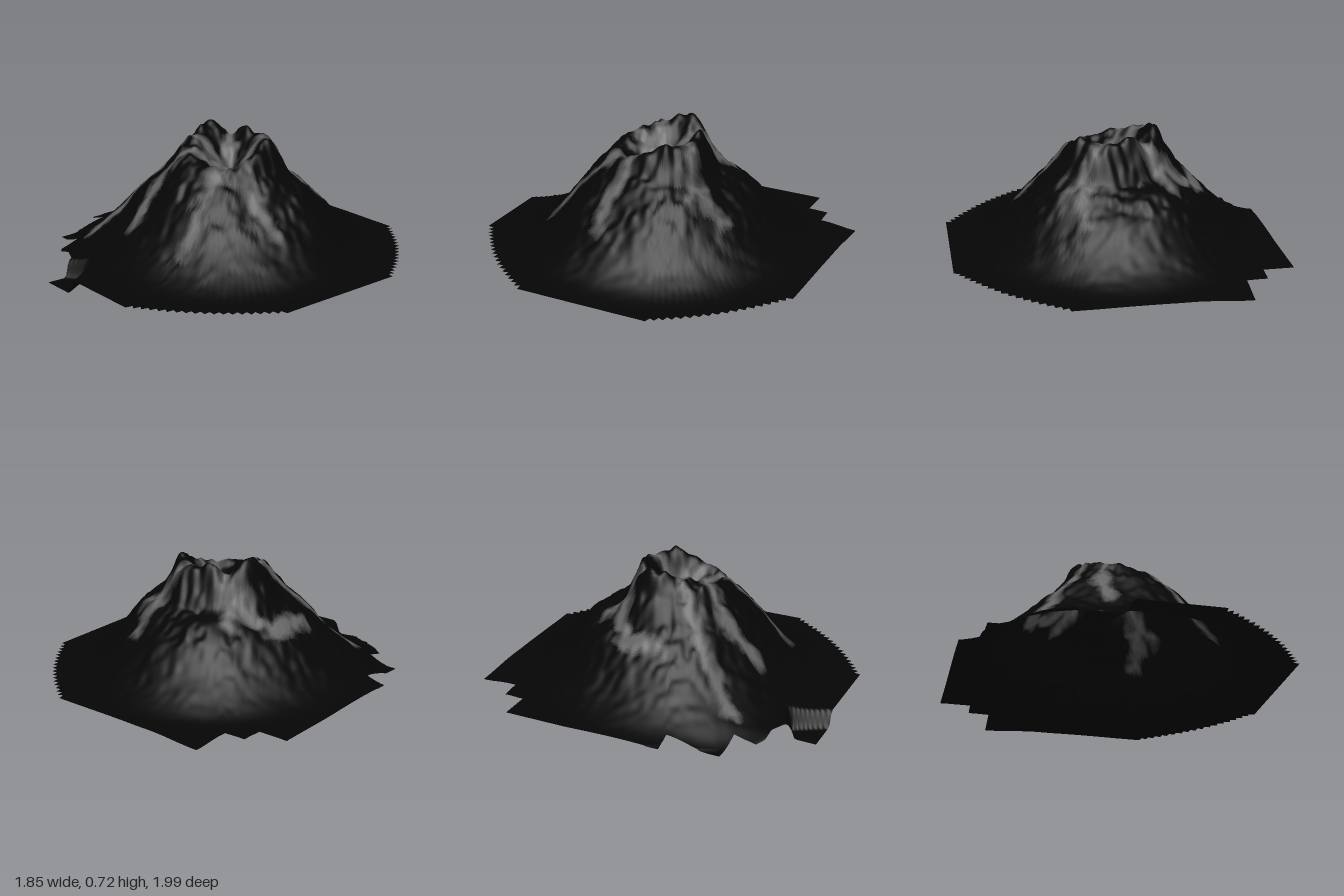
import * as THREE from 'three';

const CX = 0.02, CZ = 0.05, BASE = 0.08, RINGS = 100, TONES = 8;

// Radii of the height profiles, and one profile per 45 degrees, from +x towards the front
const RADII = [0, 0.08, 0.15, 0.2, 0.25, 0.3, 0.4, 0.5, 0.6, 0.7, 0.8, 0.9];
const PROFILES = [
  [0.5, 0.54, 0.64, 0.66, 0.56, 0.5, 0.42, 0.3, 0.18, 0.11, 0.08, 0.08],
  [0.5, 0.53, 0.6, 0.6, 0.55, 0.49, 0.39, 0.29, 0.195, 0.12, 0.085, 0.08],
  [0.5, 0.51, 0.54, 0.57, 0.57, 0.53, 0.43, 0.3, 0.2, 0.13, 0.09, 0.08],
  [0.5, 0.53, 0.57, 0.6, 0.61, 0.56, 0.44, 0.32, 0.21, 0.13, 0.09, 0.08],
  [0.5, 0.55, 0.63, 0.67, 0.65, 0.57, 0.48, 0.38, 0.28, 0.19, 0.12, 0.085],
  [0.5, 0.54, 0.62, 0.7, 0.72, 0.61, 0.45, 0.35, 0.24, 0.15, 0.1, 0.08],
  [0.5, 0.56, 0.65, 0.67, 0.58, 0.48, 0.44, 0.37, 0.25, 0.16, 0.1, 0.08],
  [0.5, 0.56, 0.66, 0.68, 0.6, 0.5, 0.41, 0.32, 0.21, 0.13, 0.09, 0.08],
];

// Ragged ground outline as x, z, and optional number of saw teeth up to the next corner
const OUTLINE = [
  [-0.04, -1], [0.74, -0.55, 17], [0.92, 0.18], [0.56, 0.8, 18], [-0.18, 0.99],
  [-0.76, 0.65], [-0.71, 0.57], [-0.7, 0.5], [-0.75, 0.43], [-0.81, 0.39], [-0.84, 0.34],
  [-0.79, 0.24], [-0.93, 0.15], [-0.79, -0.09], [-0.88, -0.14], [-0.45, -0.87],
  [-0.31, -0.79], [-0.25, -0.88], [-0.15, -0.83],
];

// Centre lines of the pale streaks running down from the crater
const STREAKS = [
  [[0, 0.05], [-0.04, -0.1], [-0.06, -0.22], [-0.09, -0.33]],
  [[-0.07, -0.25], [-0.2, -0.28], [-0.33, -0.25], [-0.38, -0.16], [-0.45, -0.08]],
  [[0.06, 0.05], [0.13, -0.05], [0.25, -0.09], [0.35, -0.13], [0.37, -0.23]],
  [[0.28, -0.09], [0.38, -0.07]],
  [[0, 0.07], [-0.2, 0.01], [-0.35, 0.08], [-0.52, 0.15], [-0.66, 0.21], [-0.68, 0.25]],
  [[-0.05, 0.14], [-0.17, 0.16], [-0.3, 0.24], [-0.38, 0.4]],
  [[0.04, 0.08], [0.05, 0.3], [0, 0.42], [-0.03, 0.6]],
  [[0.08, 0.1], [0.15, 0.23], [0.25, 0.33], [0.36, 0.38]],
  [[-0.04, 0.09], [0.1, 0.08]],
];

function cubic(a, b, c, d, t) {
  return b + 0.5 * t * (c - a + t * (2 * a - 5 * b + 4 * c - d + t * (3 * (b - c) + d - a)));
}

// Seeded lattice noise in the range -1..1
function hash(i, j) {
  const s = Math.sin(i * 127.1 + j * 311.7) * 43758.5453;
  return 2 * (s - Math.floor(s)) - 1;
}
function noise(x, z) {
  const i = Math.floor(x), j = Math.floor(z);
  const u = THREE.MathUtils.smoothstep(x - i, 0, 1), v = THREE.MathUtils.smoothstep(z - j, 0, 1);
  const row = (k) => THREE.MathUtils.lerp(hash(i, k), hash(i + 1, k), u);
  return THREE.MathUtils.lerp(row(j), row(j + 1), v);
}

function profileHeight(p, r) {
  const last = RADII.length - 1;
  if (r >= RADII[last]) return BASE;
  let k = 0;
  while (r > RADII[k + 1]) k++;
  const at = (n) => p[Math.min(Math.abs(n), last)];
  return cubic(at(k - 1), at(k), at(k + 1), at(k + 2), (r - RADII[k]) / (RADII[k + 1] - RADII[k]));
}

function height(x, z) {
  const step = THREE.MathUtils.smoothstep;
  const r = Math.hypot(x - CX, z - CZ);
  const a = ((Math.atan2(z - CZ, x - CX) / (Math.PI / 4)) + 8) % 8;
  const s = Math.floor(a);
  const h = [-1, 0, 1, 2].map((n) => profileHeight(PROFILES[(s + n + 8) % 8], r));
  let y = Math.max(BASE, cubic(...h, a - s));

  // Rough rock, strongest on the rim and fading out onto the plain
  const rough = Math.min(1, (y - BASE) / 0.3);
  const rim = Math.exp(-(((r - 0.21) / 0.07) ** 2));
  y += rough * (0.01 * noise(x * 11, z * 11) + 0.01 * noise(x * 27, z * 27));
  y += rim * 0.022 * noise(x * 22 + 5, z * 22);

  // Notch in the back of the rim
  y -= 0.06 * Math.exp(-((x + 0.06) ** 2 + (z + 0.14) ** 2) / 0.0025);

  // Sagging left shore and back tip, and the sunken front left corner
  y -= 0.025 * step(-x, 0.74, 0.88) * step(z, -0.1, 0.12) + 0.015 * step(-z, 0.85, 1);
  return THREE.MathUtils.lerp(y, 0, step(-x, 0.56, 0.6) * step(z, 0.52, 0.56));
}

// 1 on a streak's centre line, falling to 0 at its frayed border
function paleness(px, pz) {
  const x = px + 0.022 * noise(px * 18, pz * 18), z = pz + 0.022 * noise(px * 18 + 40, pz * 18);
  let d = 1;
  for (const line of STREAKS) {
    for (let i = 0; i + 1 < line.length; i++) {
      const [ax, az] = line[i], [bx, bz] = line[i + 1];
      const ux = bx - ax, uz = bz - az;
      const t = THREE.MathUtils.clamp(((x - ax) * ux + (z - az) * uz) / (ux * ux + uz * uz), 0, 1);
      d = Math.min(d, Math.hypot(x - ax - t * ux, z - az - t * uz));
    }
  }
  return 0.9 - d / 0.055 + 0.28 * noise(x * 20, z * 20) + 0.25 * noise(x * 45, z * 45);
}

function outlinePoints() {
  const pts = [];
  OUTLINE.forEach(([x, z, teeth], i) => {
    const [nx, nz] = OUTLINE[(i + 1) % OUTLINE.length];
    const n = teeth ? teeth * 2 : Math.ceil(Math.hypot(nx - x, nz - z) / 0.02);
    // Serrated edges bulge a little, with every other point pulled inwards
    for (let k = 0; k < n; k++) {
      const t = k / n;
      const pull = teeth ? 1 + 0.05 * Math.sin(Math.PI * t) - (k % 2) * 0.028 : 1;
      pts.push([(x + (nx - x) * t) * pull, (z + (nz - z) * t) * pull]);
    }
  });
  return pts;
}

export function createModel() {
  const rimPts = outlinePoints(), n = rimPts.length;
  const positions = [], pale = [];
  for (let k = 0; k <= RINGS; k++) {
    for (const [ex, ez] of rimPts) {
      const t = k / RINGS;
      const x = CX + (ex - CX) * t, z = CZ + (ez - CZ) * t;
      positions.push(x, height(x, z), z);
      pale.push(paleness(x, z));
    }
  }

  // Sort the faces into tones from dark rock to pale streak
  const faces = Array.from({ length: TONES }, () => []), all = [];
  const addFace = (...f) => {
    const p = (pale[f[0]] + pale[f[1]] + pale[f[2]]) / 3;
    faces[THREE.MathUtils.clamp(Math.ceil(p * TONES), 0, TONES - 1)].push(...f);
    all.push(...f);
  };
  for (let k = 0; k < RINGS; k++) {
    for (let i = 0; i < n; i++) {
      const j = (i + 1) % n, a = k * n, b = a + n;
      addFace(a + i, b + j, b + i);
      if (k > 0) addFace(a + i, a + j, b + j);
    }
  }

  // All tones share one set of smooth normals
  const terrain = new THREE.BufferGeometry();
  terrain.setAttribute('position', new THREE.Float32BufferAttribute(positions, 3));
  terrain.setIndex(all);
  terrain.computeVertexNormals();
  for (let i = 0; i < n; i++) terrain.attributes.normal.setXYZ(i, 0, 1, 0);

  const group = new THREE.Group();
  group.name = 'volcano';
  const dark = new THREE.Color(0x050505), light = new THREE.Color(0x626262);
  faces.forEach((index, i) => {
    const geometry = new THREE.BufferGeometry();
    geometry.setAttribute('position', terrain.attributes.position);
    geometry.setAttribute('normal', terrain.attributes.normal);
    geometry.setIndex(index);
    const color = dark.clone().lerp(light, (i / (TONES - 1)) ** 1.3);
    const mesh = new THREE.Mesh(geometry, new THREE.MeshStandardMaterial({ color, side: THREE.DoubleSide }));
    mesh.name = i === 0 ? 'darkSlopes' : `paleStreakTone${i}`;
    group.add(mesh);
  });
  return group;
}
